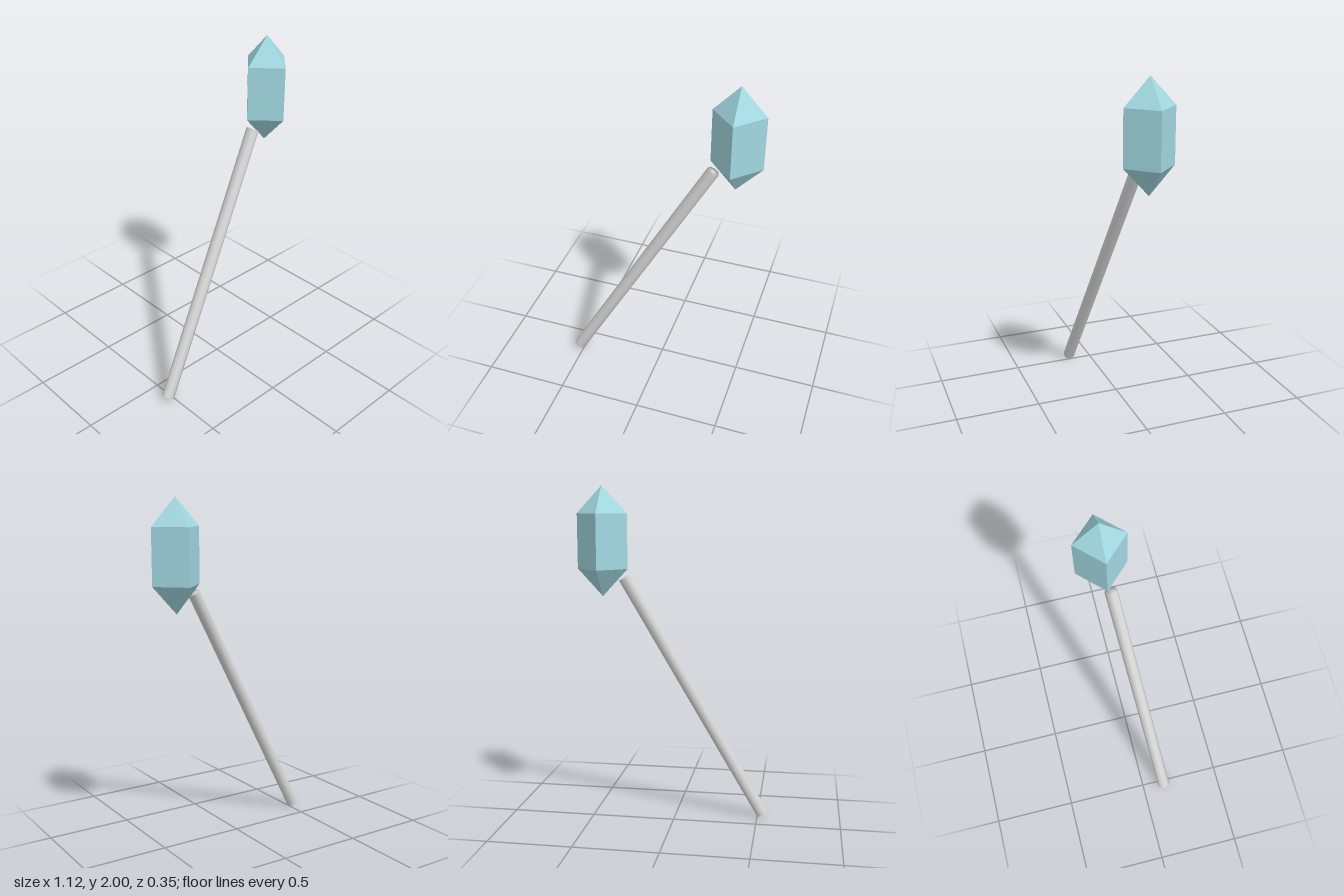
import * as THREE from 'three';
import { mergeVertices } from 'three/addons/utils/BufferGeometryUtils.js';

export function createModel() {
  const group = new THREE.Group();
  group.name = 'crystalStaff';

  const crystalBlue = new THREE.MeshStandardMaterial({ color: 0xa3d9e2 });
  crystalBlue.name = 'crystalBlue';
  crystalBlue.flatShading = true;
  const paleGrey = new THREE.MeshStandardMaterial({ color: 0xd8d8d8 });
  paleGrey.name = 'paleGrey';

  // Leaning rod: eight sides, with normals blended across sides and caps
  const bottom = new THREE.Vector3(-0.53, 0.02, 0.138);
  const top = new THREE.Vector3(0.289, 1.472, -0.006);
  const axis = top.clone().sub(bottom);
  let rodGeometry = new THREE.CylinderGeometry(0.037, 0.037, axis.length(), 8);
  rodGeometry.deleteAttribute('uv');
  rodGeometry.deleteAttribute('normal');
  rodGeometry = mergeVertices(rodGeometry);
  rodGeometry.computeVertexNormals();
  const rod = new THREE.Mesh(rodGeometry, paleGrey);
  rod.name = 'rod';
  rod.position.copy(bottom).add(top).multiplyScalar(0.5);
  rod.quaternion.setFromUnitVectors(new THREE.Vector3(0, 1, 0), axis.normalize());
  group.add(rod);

  // Upright four-sided crystal with pointed ends
  const profile = [[0, 1.365], [0.148, 1.525], [0.148, 1.842], [0, 2]]
    .map(([r, y]) => new THREE.Vector2(r, y));
  const crystal = new THREE.Mesh(new THREE.LatheGeometry(profile, 4), crystalBlue);
  crystal.name = 'crystal';
  crystal.position.set(0.413, 0, -0.029);
  group.add(crystal);

  return group;
}
